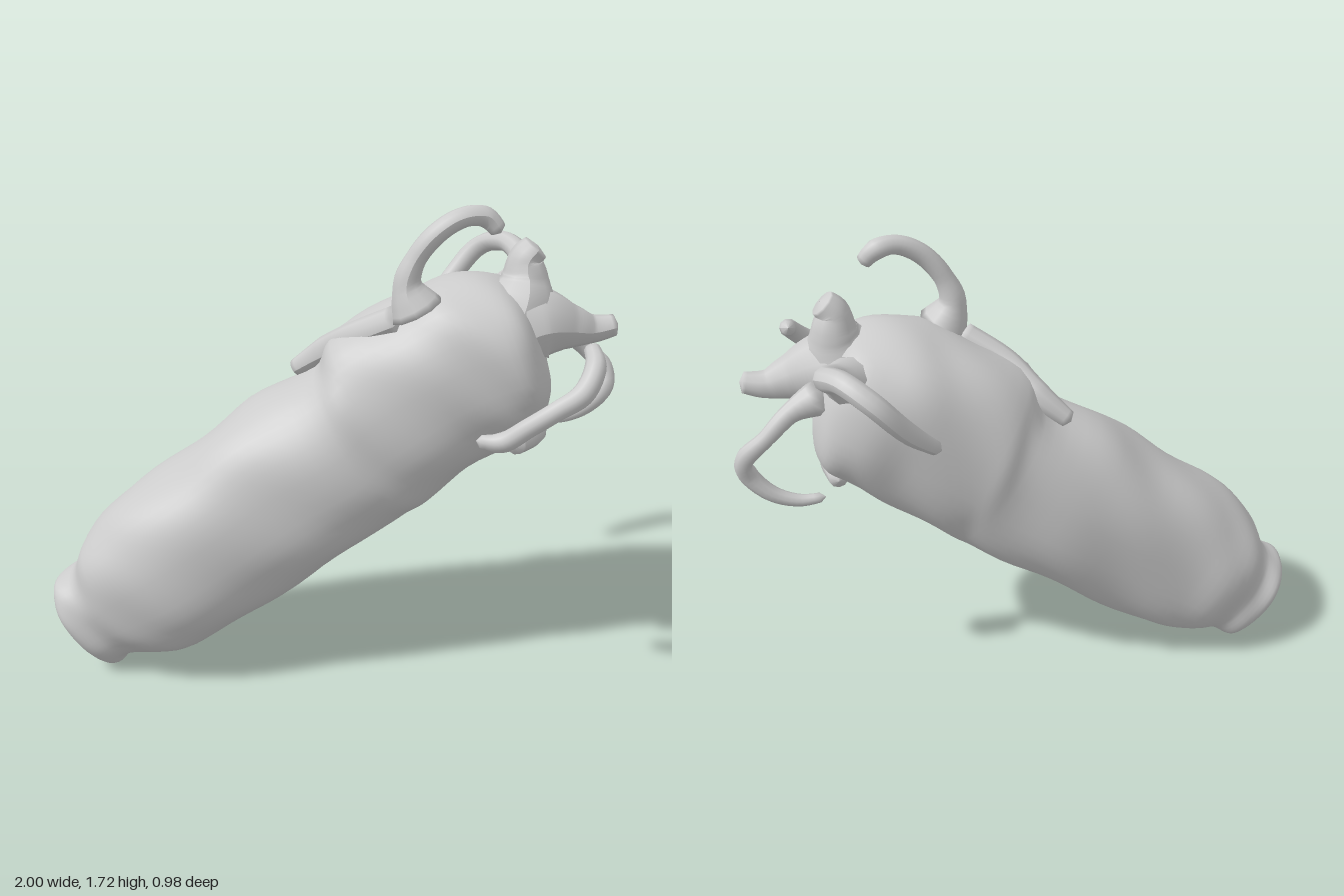
import * as THREE from 'three';

const mat = new THREE.MeshStandardMaterial({ color: 0xcccccc, roughness: 0.8, side: THREE.DoubleSide });
const V = (p) => new THREE.Vector3(...p);

// Plump slanted body: each section is [upper x, y, lower x, y, back z, front z]
function buildBody() {
  const sections = [
    [-0.95, 0.19, -0.92, 0.14, 0.14, 0.2],
    [-0.99, 0.25, -0.88, 0.07, 0.06, 0.29],
    [-1.0, 0.32, -0.78, 0.0, 0.0, 0.34],
    [-0.93, 0.37, -0.71, 0.05, -0.01, 0.35],
    [-0.88, 0.5, -0.58, 0.07, -0.08, 0.4],
    [-0.73, 0.66, -0.43, 0.13, -0.11, 0.425],
    [-0.5, 0.83, -0.2, 0.28, -0.15, 0.4],
    [-0.3, 0.99, 0.05, 0.46, -0.19, 0.365],
    [-0.06, 1.13, 0.25, 0.6, -0.21, 0.335],
    [0.0, 1.24, 0.36, 0.68, -0.225, 0.32],
    [0.2, 1.36, 0.53, 0.82, -0.245, 0.3],
    [0.36, 1.44, 0.66, 0.91, -0.25, 0.29],
    [0.55, 1.45, 0.73, 0.98, -0.22, 0.27],
    [0.64, 1.39, 0.75, 1.09, -0.13, 0.2],
    [0.7, 1.26, 0.73, 1.19, -0.02, 0.08],
  ];
  const upper = new THREE.CatmullRomCurve3(sections.map((s) => V([s[0], s[1], s[4]])));
  const lower = new THREE.CatmullRomCurve3(sections.map((s) => V([s[2], s[3], s[5]])));
  const rows = 70, cols = 44, pos = [], idx = [];
  for (let i = 0; i <= rows; i++) {
    const t = i / rows, a = upper.getPoint(t), b = lower.getPoint(t);
    const zc = (a.z + b.z) / 2, zw = (b.z - a.z) / 2;
    for (let j = 0; j < cols; j++) {
      const ang = (j / cols) * Math.PI * 2, c = Math.cos(ang), s = Math.sin(ang);
      // slightly squared section with gentle lumps
      const u = Math.sign(c) * Math.abs(c) ** 0.85, w = Math.sign(s) * Math.abs(s) ** 0.85;
      const lump = 1 + 0.012 * Math.sin(t * 40 + 3 * ang) + 0.01 * Math.sin(t * 63 - 5 * ang);
      const k = (u * lump + 1) / 2;
      pos.push(b.x + (a.x - b.x) * k, Math.max(0, b.y + (a.y - b.y) * k), zc + zw * w * lump);
      if (i < rows) {
        const p = i * cols + j, q = i * cols + ((j + 1) % cols);
        idx.push(p, q, q + cols, p, q + cols, p + cols);
      }
    }
  }
  // close both ends
  for (const [row, flip] of [[0, true], [rows, false]]) {
    const a = upper.getPoint(row / rows), b = lower.getPoint(row / rows);
    const m = pos.length / 3;
    pos.push((a.x + b.x) / 2, (a.y + b.y) / 2, (a.z + b.z) / 2);
    for (let j = 0; j < cols; j++) {
      const p = row * cols + j, q = row * cols + ((j + 1) % cols);
      idx.push(...(flip ? [m, q, p] : [m, p, q]));
    }
  }
  const g = new THREE.BufferGeometry();
  g.setAttribute('position', new THREE.Float32BufferAttribute(pos, 3));
  g.setIndex(idx);
  g.computeVertexNormals();
  return g;
}

// Tapered tube: points are [x, y, z, radius]; the ends shrink to a blunt tip
function buildLimb(points, segs = 32, sides = 10) {
  const path = new THREE.CatmullRomCurve3(points.map((p) => V(p)));
  path.getPointAt = path.getPoint; // keep radii aligned with the control points
  const g = new THREE.TubeGeometry(path, segs, 1, sides, false);
  const pos = g.attributes.position, v = new THREE.Vector3();
  for (let i = 0; i <= segs; i++) {
    const f = (i / segs) * (points.length - 1);
    const k = Math.min(Math.floor(f), points.length - 2);
    const end = i === 0 || i === segs ? 0.02 : 1;
    const r = end * THREE.MathUtils.lerp(points[k][3], points[k + 1][3], f - k);
    const c = path.getPoint(i / segs);
    for (let j = 0; j <= sides; j++) {
      const n = i * (sides + 1) + j;
      v.fromBufferAttribute(pos, n).sub(c).multiplyScalar(r).add(c);
      pos.setXYZ(n, v.x, v.y, v.z);
    }
  }
  g.computeVertexNormals();
  return g;
}

export function createModel() {
  const group = new THREE.Group();
  const add = (name, geometry) => {
    const m = new THREE.Mesh(geometry, mat);
    m.name = name;
    group.add(m);
  };
  add('body', buildBody());

  const limbs = {
    // curl rising from the top of the head
    topTentacle: [[0.3, 1.36, 0.17, 0.1], [0.255, 1.46, 0.17, 0.05], [0.28, 1.55, 0.17, 0.035],
      [0.35, 1.64, 0.165, 0.035], [0.43, 1.685, 0.145, 0.034], [0.5, 1.68, 0.12, 0.036], [0.55, 1.63, 0.12, 0.025]],
    // stout upright horn
    horn: [[0.58, 1.28, 0.03, 0.19], [0.63, 1.36, 0.02, 0.135], [0.645, 1.44, 0.0, 0.085],
      [0.64, 1.51, 0.0, 0.06], [0.68, 1.56, -0.005, 0.045]],
    // pointed snout
    snout: [[0.6, 1.28, 0.04, 0.16], [0.7, 1.3, 0.02, 0.13], [0.8, 1.285, 0.0, 0.08],
      [0.88, 1.27, -0.02, 0.05], [0.97, 1.285, -0.03, 0.035]],
    // hook on the back side
    backTentacle: [[0.58, 1.32, -0.12, 0.1], [0.63, 1.39, -0.22, 0.05], [0.645, 1.44, -0.31, 0.04],
      [0.59, 1.47, -0.39, 0.038], [0.5, 1.43, -0.45, 0.038], [0.4, 1.31, -0.425, 0.036], [0.3, 1.2, -0.36, 0.022]],
    // free curl on the front side
    frontTentacle: [[0.84, 1.32, 0.29, 0.024], [0.85, 1.28, 0.37, 0.034], [0.81, 1.21, 0.435, 0.036],
      [0.73, 1.16, 0.46, 0.032], [0.65, 1.1, 0.455, 0.032], [0.57, 1.04, 0.44, 0.034], [0.49, 1.04, 0.43, 0.018]],
    // loop at the end of the head
    loopTentacle: [[0.68, 1.27, -0.1, 0.07], [0.79, 1.23, -0.14, 0.035], [0.88, 1.15, -0.175, 0.028],
      [0.96, 1.07, -0.175, 0.034], [0.96, 1.0, -0.155, 0.034], [0.89, 0.92, -0.155, 0.028],
      [0.8, 0.885, -0.15, 0.022], [0.71, 0.89, -0.14, 0.016]],
    // lower lip ridge
    lip: [[0.66, 0.95, -0.14, 0.03], [0.69, 0.95, 0.0, 0.05], [0.69, 0.95, 0.13, 0.05], [0.62, 0.95, 0.26, 0.035]],
    // raised folds along the upper back
    upperFold: [[-0.14, 1.09, -0.02, 0.03], [-0.02, 1.18, 0.02, 0.05], [0.08, 1.26, 0.1, 0.05], [0.24, 1.35, 0.16, 0.05]],
  };
  for (const [name, pts] of Object.entries(limbs)) add(name, buildLimb(pts));
  return group;
}
